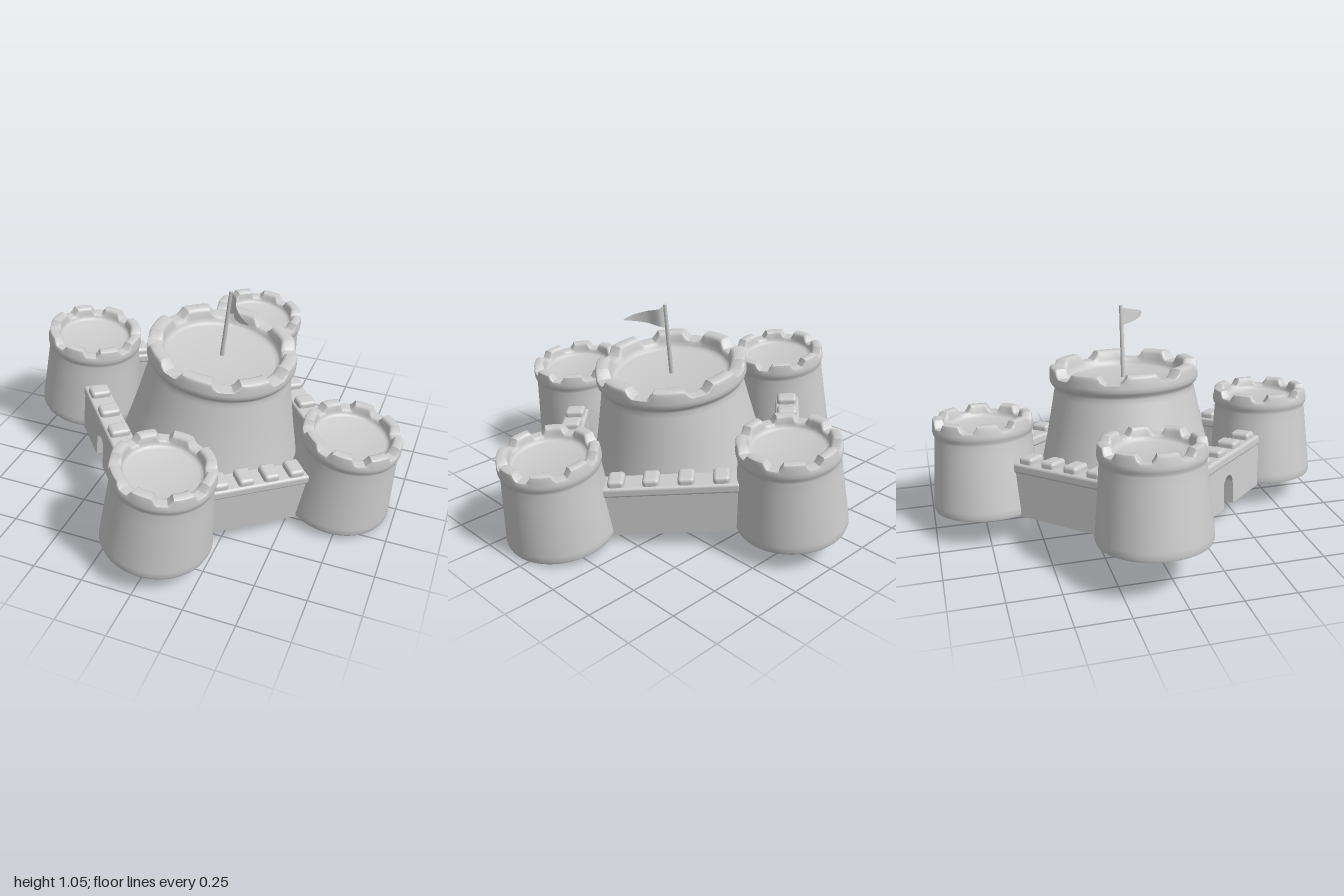
import * as THREE from 'three';
import { toCreasedNormals } from 'three/addons/utils/BufferGeometryUtils.js';
import { RoundedBoxGeometry } from 'three/addons/geometries/RoundedBoxGeometry.js';

const material = new THREE.MeshStandardMaterial({ color: 0xcccccc });
const thinMaterial = new THREE.MeshStandardMaterial({ color: 0xcccccc, side: THREE.DoubleSide });

function addMesh(parent, name, geometry, mat = material) {
  const mesh = new THREE.Mesh(geometry, mat);
  mesh.name = name;
  parent.add(mesh);
  return mesh;
}

// Turned body whose rim is pressed down between the merlons
function towerGeometry(profile, top, gapLevel, merlons = 8) {
  const points = profile.map(([r, y]) => new THREE.Vector2(r, y));
  const geometry = new THREE.LatheGeometry(points, 128);
  const pos = geometry.attributes.position;
  for (let i = 0; i < pos.count; i++) {
    const y = pos.getY(i);
    if (y <= gapLevel) continue;
    const phase = Math.cos(Math.atan2(pos.getX(i), pos.getZ(i)) * merlons);
    const raised = THREE.MathUtils.smoothstep(phase, -0.7, 0.05);
    // a small step is kept so the gaps stay rounded
    const low = gapLevel + (y - gapLevel) * 0.12;
    pos.setY(i, THREE.MathUtils.lerp(low, y, raised));
  }
  geometry.deleteAttribute('uv');
  geometry.computeVertexNormals();
  return toCreasedNormals(geometry, 0.75);
}

// Straight wall, optionally with an arched gateway, topped by a rail and merlons
function makeWall(name, [x1, z1], [x2, z2], gateAt) {
  const wall = new THREE.Group();
  wall.name = name;
  const extra = 0.015;
  const length = Math.hypot(x2 - x1, z2 - z1) + 2 * extra;
  const width = 0.105;
  const shape = new THREE.Shape();
  shape.moveTo(0, 0);
  if (gateAt) {
    const r = 0.05;
    shape.lineTo(gateAt - r, 0);
    shape.lineTo(gateAt - r, 0.105);
    shape.absarc(gateAt, 0.105, r, Math.PI, 0, true);
    shape.lineTo(gateAt + r, 0);
  }
  shape.lineTo(length, 0);
  shape.lineTo(length, 0.24);
  shape.lineTo(0, 0.24);
  const body = new THREE.ExtrudeGeometry(shape, { depth: width, bevelEnabled: false, curveSegments: 16 });
  body.translate(0, 0, -width / 2);
  addMesh(wall, 'wallBody', toCreasedNormals(body, 0.6));

  const rail = addMesh(wall, 'wallRail', new RoundedBoxGeometry(length + 0.008, 0.05, 0.122, 3, 0.014));
  rail.position.set(length / 2, 0.24, 0);

  const count = 4;
  for (let i = 0; i < count; i++) {
    const merlon = addMesh(wall, 'wallMerlon', new RoundedBoxGeometry(0.078, 0.06, 0.1, 3, 0.017));
    merlon.position.set(length * (i + 0.5) / count, 0.267, 0);
  }
  const angle = Math.atan2(z2 - z1, x2 - x1);
  wall.rotation.y = -angle;
  wall.position.set(x1 - Math.cos(angle) * extra, 0, z1 - Math.sin(angle) * extra);
  return wall;
}

// Triangular pennant following a wavy path
function pennantGeometry() {
  const path = new THREE.CatmullRomCurve3(
    [[0, -0.012], [0.03, 0], [0.055, 0.06], [0.1, 0.11], [0.145, 0.132]]
      .map(([x, z]) => new THREE.Vector3(x, 0, z)));
  const geometry = new THREE.PlaneGeometry(1, 1, 20, 2);
  const pos = geometry.attributes.position;
  for (let i = 0; i < pos.count; i++) {
    const u = pos.getX(i) + 0.5;
    const p = path.getPoint(u);
    pos.setXYZ(i, p.x, 0.88 + pos.getY(i) * 0.12 * (1 - u * 0.97), p.z);
  }
  geometry.computeVertexNormals();
  return geometry;
}

export function createModel() {
  const model = new THREE.Group();
  model.name = 'castle';

  // The whole castle leans down towards its left
  const castle = new THREE.Group();
  castle.name = 'tiltedCastle';
  castle.rotation.z = -THREE.MathUtils.degToRad(7);
  castle.position.set(-0.017, 0.125, -0.005);
  model.add(castle);

  // Central keep
  addMesh(castle, 'keep', towerGeometry([
    [0, 0], [0.44, 0], [0.455, 0.004], [0.465, 0.018], [0.462, 0.04], [0.445, 0.11],
    [0.42, 0.21], [0.395, 0.32], [0.372, 0.43], [0.354, 0.52], [0.349, 0.545],
    [0.352, 0.557], [0.364, 0.568], [0.371, 0.582], [0.372, 0.6], [0.37, 0.615],
    [0.37, 0.642], [0.366, 0.654], [0.355, 0.66], [0.318, 0.66], [0.306, 0.655],
    [0.3, 0.643], [0.295, 0.615], [0.29, 0.595], [0.282, 0.584], [0.265, 0.58], [0, 0.58],
  ], 0.66, 0.612)).position.z = -0.01;

  // Corner towers
  const cornerTower = towerGeometry([
    [0, 0], [0.248, 0], [0.26, 0.005], [0.265, 0.018], [0.263, 0.045], [0.255, 0.13],
    [0.247, 0.22], [0.239, 0.31], [0.234, 0.365], [0.234, 0.374], [0.24, 0.385],
    [0.243, 0.398], [0.243, 0.412], [0.241, 0.425], [0.24, 0.447], [0.237, 0.457],
    [0.228, 0.462], [0.201, 0.462], [0.192, 0.457], [0.188, 0.447], [0.185, 0.425],
    [0.182, 0.412], [0.176, 0.404], [0.162, 0.4], [0, 0.4],
  ], 0.462, 0.423);
  const towers = {
    rightTower: [-0.725, -0.075], leftTower: [0.725, 0.075],
    frontTower: [0.025, 0.735], backTower: [-0.022, -0.73],
  };
  for (const [name, [x, z]] of Object.entries(towers)) {
    addMesh(castle, name, cornerTower).position.set(x, 0, z);
  }

  // Curtain walls, the front right one with the gateway
  castle.add(
    makeWall('frontRightWall', [-0.6, 0.145], [-0.18, 0.585], 0.285),
    makeWall('frontLeftWall', [0.19, 0.57], [0.55, 0.245]),
    makeWall('backRightWall', [-0.59, -0.245], [-0.21, -0.565]),
    makeWall('backLeftWall', [0.15, -0.555], [0.57, -0.095]),
  );

  // Flagpole and flag on the keep
  const pole = addMesh(castle, 'flagpole', new THREE.CylinderGeometry(0.009, 0.011, 0.37, 16));
  pole.position.set(0, 0.757, -0.012);
  addMesh(castle, 'flag', pennantGeometry(), thinMaterial);

  return model;
}
